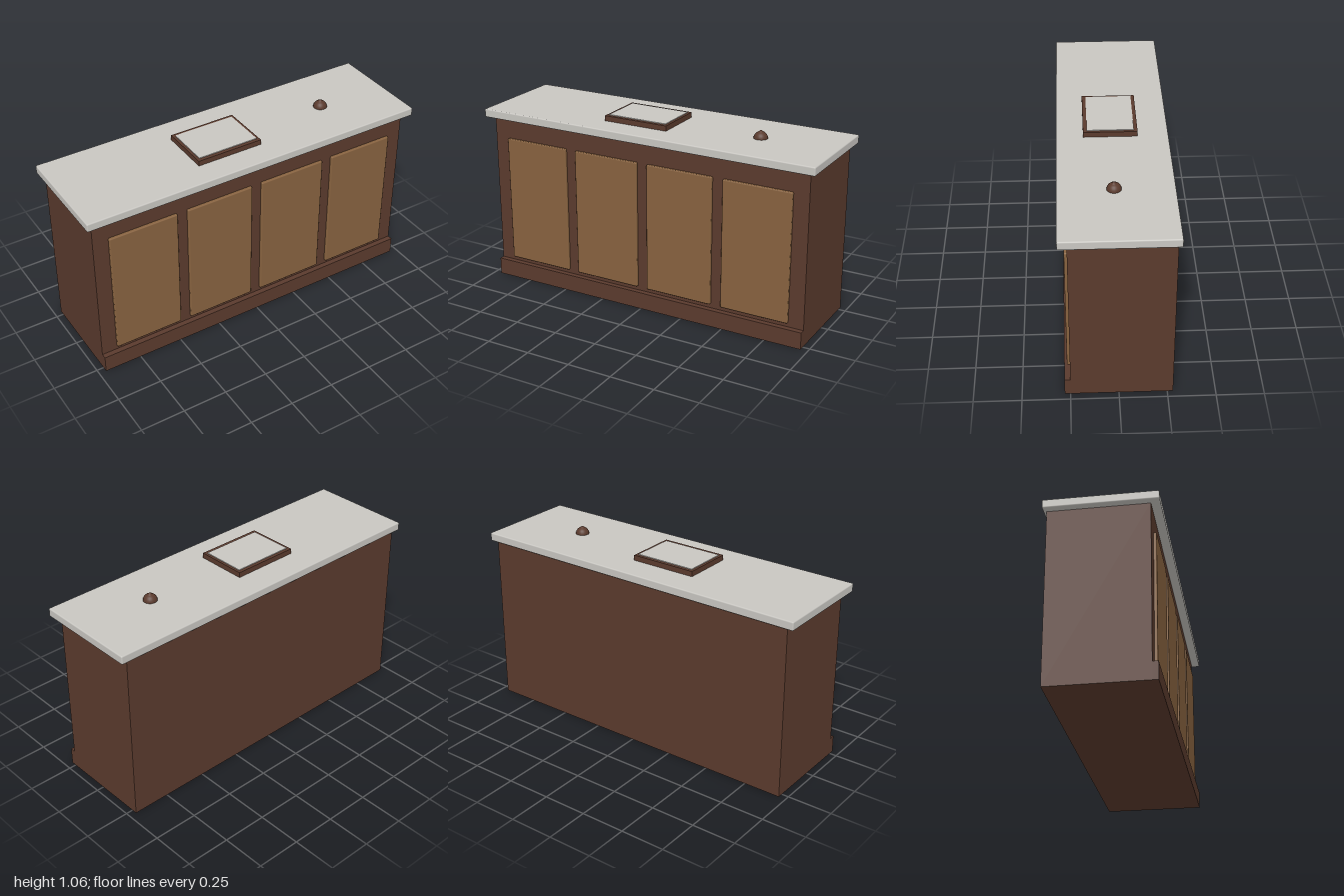
import * as THREE from 'three';
import { RoundedBoxGeometry } from 'three/addons/geometries/RoundedBoxGeometry.js';

const material = (name, color) => {
  const m = new THREE.MeshStandardMaterial({ color });
  m.name = name;
  return m;
};

export function createModel() {
  const group = new THREE.Group();
  group.name = 'counter';
  const darkWood = material('darkWood', 0x5a3a2d);
  const lightWood = material('lightWood', 0x87623f);
  const stone = material('paleStone', 0xc8c6c1);

  const add = (name, geometry, mat, x, y, z) => {
    const mesh = new THREE.Mesh(geometry, mat);
    mesh.name = name;
    mesh.position.set(x, y, z);
    group.add(mesh);
    return mesh;
  };
  // Box given by its limits on each axis; a radius rounds the edges
  const box = (name, mat, [x0, x1], [y0, y1], [z0, z1], radius = 0) => {
    const size = [x1 - x0, y1 - y0, z1 - z0];
    const geometry = radius
      ? new RoundedBoxGeometry(...size, 2, radius)
      : new THREE.BoxGeometry(...size);
    return add(name, geometry, mat, (x0 + x1) / 2, (y0 + y1) / 2, (z0 + z1) / 2);
  };

  // Cabinet with a skirting board along the front
  box('cabinet', darkWood, [-0.96, 0.96], [0, 0.967], [-0.28, 0.25]);
  box('plinth', darkWood, [-0.96, 0.96], [0, 0.096], [0.25, 0.28]);

  // Four raised front panels
  for (let i = 0; i < 4; i++) {
    const x = (i - 1.5) * 0.452;
    box('frontPanel' + (i + 1), lightWood, [x - 0.195, x + 0.195], [0.12, 0.847], [0.238, 0.266], 0.006);
  }

  // Overhanging worktop with eased edges
  box('worktop', stone, [-1, 1], [0.964, 1.012], [-0.297, 0.297], 0.007);

  // Tray with a pale inset sheet
  box('tray', darkWood, [-0.29, 0.09], [1.01, 1.041], [-0.133, 0.155]);
  box('traySheet', stone, [-0.275, 0.075], [1.038, 1.045], [-0.114, 0.135]);

  // Domed bell with a pointed tip
  add('bellDome', new THREE.SphereGeometry(0.038, 24, 8, 0, Math.PI * 2, 0, Math.PI / 2), darkWood, 0.575, 1.011, 0.011);
  add('bellTip', new THREE.ConeGeometry(0.022, 0.016, 20), darkWood, 0.575, 1.049, 0.011);

  return group;
}
